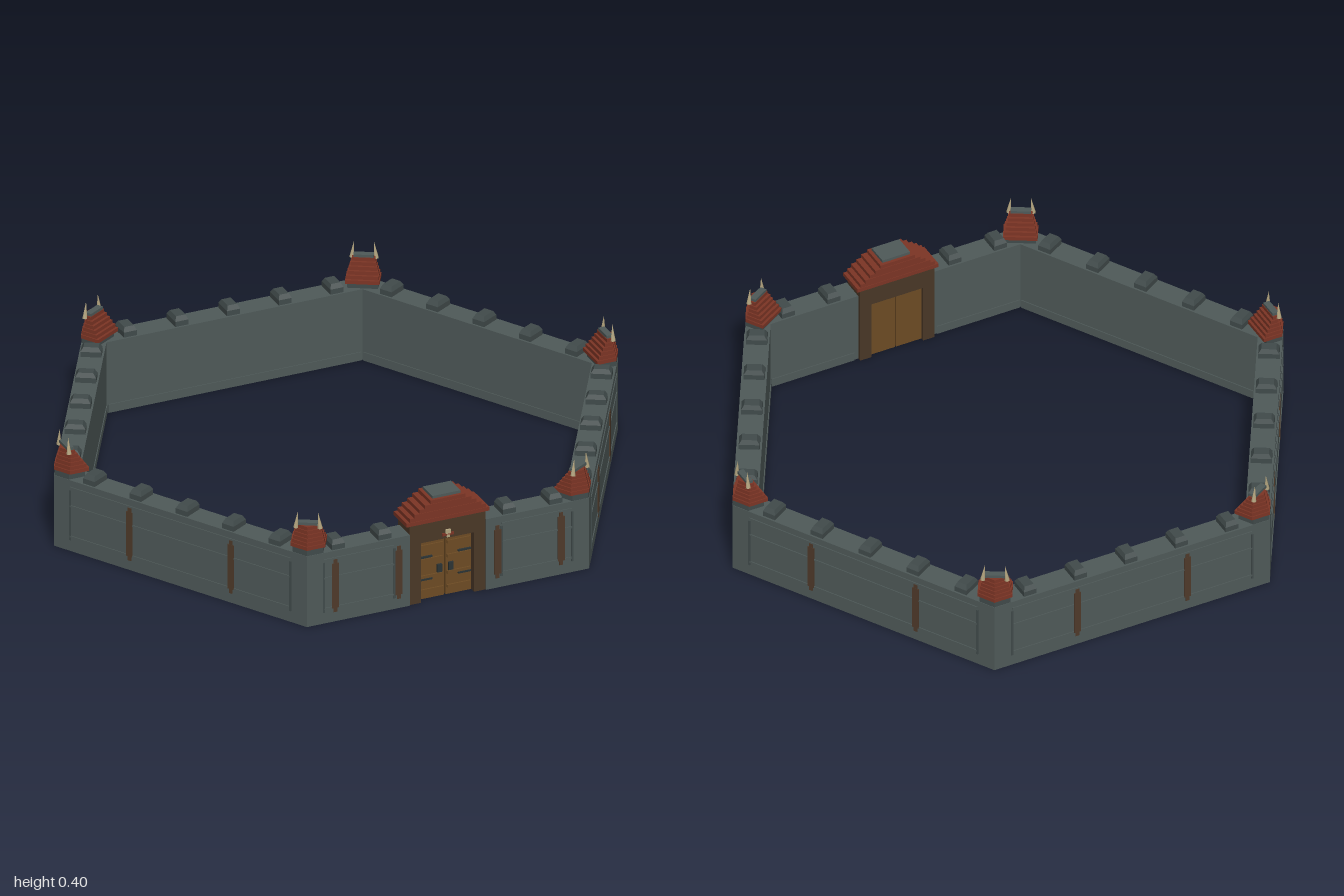
import * as THREE from 'three';

const mat = (name, color) => {
  const m = new THREE.MeshStandardMaterial({ color });
  m.name = name;
  return m;
};

const OUT = 0.866, IN = 0.785, TOP = 0.255; // wall faces (distance from centre) and height

export function createModel() {
  const stone = mat('stone', 0x4f5a59);
  const darkStone = mat('darkStone', 0x414b4b);
  const rust = mat('rust', 0x4f3a2a);
  const frameWood = mat('frameWood', 0x4a3827);
  const doorWood = mat('doorWood', 0x6e4c24);
  const tile = mat('roofTile', 0x7d3525);
  const bone = mat('bone', 0xb5a680);
  const iron = mat('iron', 0x2b3335);

  const add = (parent, name, geo, material) => {
    const mesh = new THREE.Mesh(geo, material);
    mesh.name = name;
    parent.add(mesh);
    return mesh;
  };
  // Box given by its centre x, bottom y, centre z
  const box = (parent, name, material, w, h, d, x, y, z) =>
    add(parent, name, new THREE.BoxGeometry(w, h, d).translate(x, y + h / 2, z), material);
  // Box that narrows towards the top
  const taperedBox = (parent, name, material, w, h, d, x, y, z, k) => {
    const g = new THREE.BoxGeometry(w, h, d).toNonIndexed();
    const p = g.attributes.position;
    for (let i = 0; i < p.count; i++) {
      if (p.getY(i) > 0) p.setXYZ(i, p.getX(i) * k, p.getY(i), p.getZ(i) * k);
    }
    g.computeVertexNormals();
    return add(parent, name, g.translate(x, y + h / 2, z), material);
  };
  // Upright prism from a plan outline of [x, z] points
  const prism = (parent, name, material, plan, y, h) => {
    const shape = new THREE.Shape(plan.map(([x, z]) => new THREE.Vector2(x, -z)));
    const g = new THREE.ExtrudeGeometry(shape, { depth: h, bevelEnabled: false });
    return add(parent, name, g.rotateX(-Math.PI / 2).translate(0, y, 0), material);
  };

  const inEnd = IN * Math.tan(Math.PI / 6);
  const MID = (OUT + IN) / 2;

  // Shallow frame of ledges on the outer face
  const panel = (parent, x0, x1) => {
    const w = x1 - x0, c = (x0 + x1) / 2;
    for (const y of [0.05, 0.16, 0.226]) box(parent, 'wallLedge', stone, w, 0.006, 0.006, c, y, OUT);
    for (const x of [x0, x1]) box(parent, 'wallSeam', darkStone, 0.007, 0.18, 0.006, x, 0.04, OUT);
  };
  const streak = (parent, x) => {
    box(parent, 'rustStrip', rust, 0.024, 0.16, 0.007, x, 0.05, OUT);
    box(parent, 'rustStripTail', rust, 0.013, 0.19, 0.006, x, 0.035, OUT);
  };
  const merlon = (parent, x) => {
    box(parent, 'merlonBase', darkStone, 0.046, 0.018, 0.068, x, TOP, MID);
    taperedBox(parent, 'merlonCap', darkStone, 0.046, 0.015, 0.068, x, TOP + 0.018, MID, 0.72);
  };

  // Plain side of the hexagon
  const plainSide = () => {
    const g = new THREE.Group();
    g.name = 'wallSide';
    prism(g, 'wall', stone, [[-0.5, OUT], [0.5, OUT], [inEnd, IN], [-inEnd, IN]], 0, TOP);
    box(g, 'innerPlinth', stone, inEnd * 2 - 0.01, 0.03, 0.006, 0, 0, IN);
    panel(g, -0.435, 0.435);
    for (const x of [-0.2, 0.2]) streak(g, x);
    for (let i = -2; i <= 2; i++) merlon(g, i * 0.183);
    return g;
  };

  // Side with the gatehouse in its middle
  const gateSide = () => {
    const g = new THREE.Group();
    g.name = 'gateSide';
    const half = 0.135;
    for (const s of [-1, 1]) {
      prism(g, 'wall', stone, [[s * 0.5, OUT], [s * half, OUT], [s * half, IN], [s * inEnd, IN]], 0, TOP);
      box(g, 'innerPlinth', stone, 0.3, 0.03, 0.006, s * 0.3, 0, IN);
      panel(g, s < 0 ? -0.44 : 0.19, s < 0 ? -0.19 : 0.44);
      for (const x of [0.4, 0.175]) streak(g, s * x);
      for (const x of [0.385, 0.22]) merlon(g, s * x);
    }

    // Wooden frame, open at the bottom for the doors
    const dw = 0.094, dh = 0.215;
    const arch = new THREE.Shape([[-half, 0], [-dw, 0], [-dw, dh], [dw, dh], [dw, 0], [half, 0],
      [half, 0.292], [-half, 0.292]].map(([x, y]) => new THREE.Vector2(x, y)));
    add(g, 'gateFrame', new THREE.ExtrudeGeometry(arch, { depth: 0.09, bevelEnabled: false })
      .translate(0, 0, 0.772), frameWood);

    // Two door leaves with hinges, planks and ring plates
    for (const s of [-1, 1]) {
      const c = s * (dw / 2 + 0.001);
      box(g, 'doorLeaf', doorWood, dw - 0.003, dh, 0.055, c, 0, 0.812);
      for (const y of [0.025, 0.075, 0.135, 0.185]) {
        box(g, 'doorBatten', doorWood, dw - 0.012, 0.01, 0.006, c, y, 0.842);
      }
      for (const y of [0.068, 0.148]) box(g, 'hinge', iron, 0.045, 0.006, 0.008, s * 0.068, y, 0.842);
      box(g, 'doorPlate', iron, 0.017, 0.028, 0.008, s * 0.02, 0.088, 0.843);
    }

    // Small skull-like ornament above the doors
    box(g, 'ornamentBack', tile, 0.04, 0.009, 0.006, 0, 0.226, 0.864);
    box(g, 'ornamentHead', bone, 0.018, 0.014, 0.008, 0, 0.233, 0.865);
    box(g, 'ornamentJaw', bone, 0.01, 0.008, 0.008, 0, 0.221, 0.866);

    // Stepped roof
    const rows = 6;
    for (let i = 0; i < rows; i++) {
      const t = i / (rows - 1);
      const hw = THREE.MathUtils.lerp(0.147, 0.062, Math.pow(t, 1.2));
      box(g, 'gateRoofRow', tile, hw * 2, 0.0135, 0.1 - (i % 2) * 0.004, 0, 0.285 + i * 0.013, 0.817);
    }
    box(g, 'gateRoofCap', stone, 0.1, 0.01, 0.075, 0, 0.363, 0.817);
    return g;
  };

  // Corner roof: steps rising from the court to the outer tip
  const corner = () => {
    const g = new THREE.Group();
    g.name = 'cornerTurret';
    const plan = (w, inner, tip) =>
      [[-w, inner], [w, inner], [w, tip - w * 0.577], [0, tip], [-w, tip - w * 0.577]];
    prism(g, 'turretBase', darkStone, plan(0.05, 0.912, 0.998), TOP, 0.022);
    const rows = 6;
    for (let i = 0; i < rows; i++) {
      prism(g, 'turretRoofRow', tile, plan(0.056 - i * 0.0036, 0.9 + i * 0.0085, 1 - i * 0.004),
        0.275 + i * 0.0125, 0.013);
    }
    box(g, 'turretCap', stone, 0.066, 0.01, 0.022, 0, 0.35, 0.955);
    // Pair of bone spikes
    for (const s of [-1, 1]) {
      const spike = add(g, 'spike', new THREE.ConeGeometry(0.009, 0.058, 6), bone);
      spike.position.set(s * 0.036, 0.37, 0.964);
      spike.rotation.z = s * 0.12;
    }
    return g;
  };

  // Six sides and six corners around the centre
  const model = new THREE.Group();
  model.name = 'hexagonalFortWall';
  for (let i = 0; i < 6; i++) {
    const side = i === 0 ? gateSide() : plainSide();
    side.rotation.y = Math.PI / 6 + i * Math.PI / 3;
    const turret = corner();
    turret.rotation.y = i * Math.PI / 3;
    model.add(side, turret);
  }
  return model;
}
